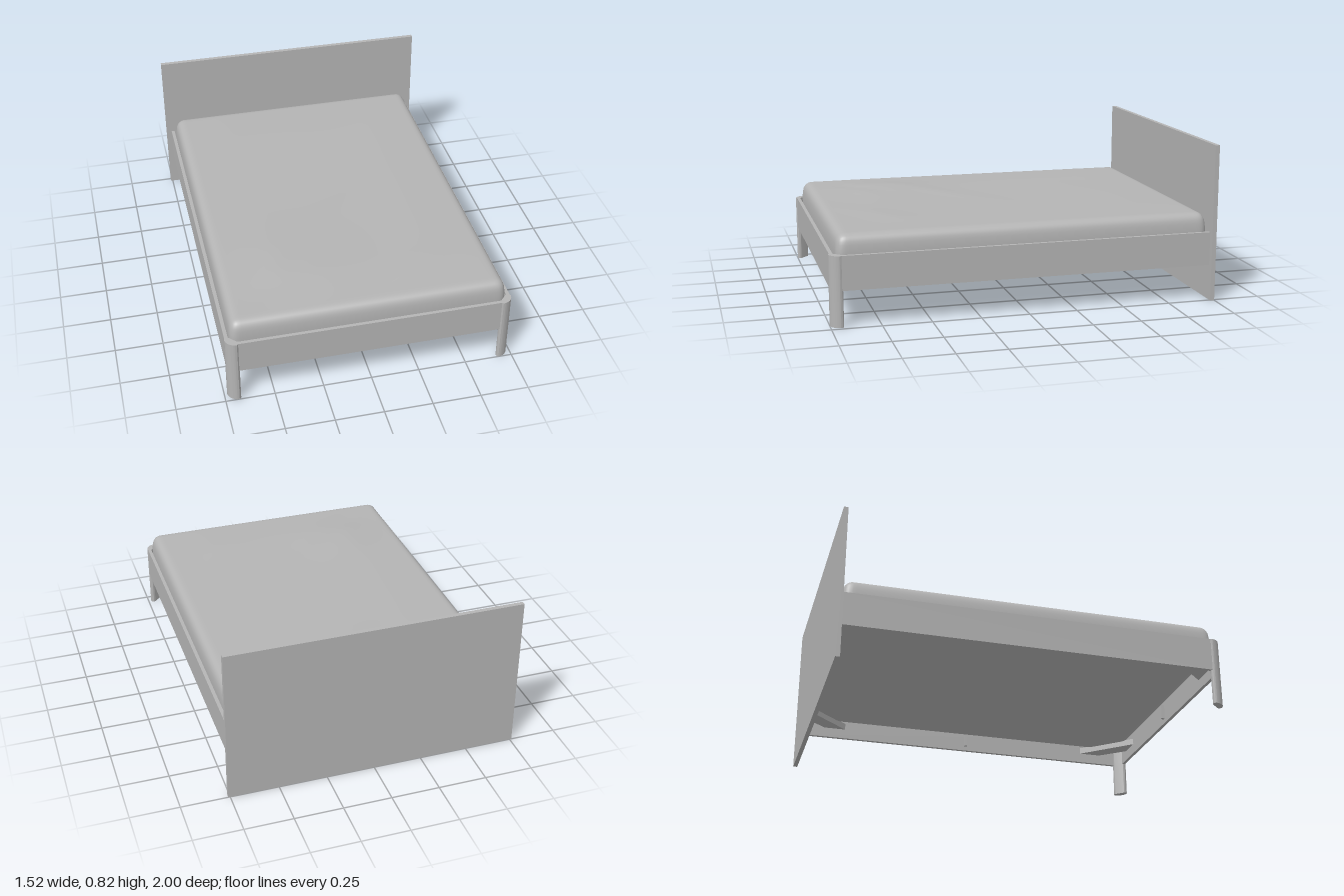
import * as THREE from 'three';
import { mergeVertices, toCreasedNormals } from 'three/addons/utils/BufferGeometryUtils.js';

const grey = new THREE.MeshStandardMaterial({ color: 0xb4b4b4 });
grey.name = 'plain grey';

function addMesh(parent, name, geometry, x = 0, y = 0, z = 0) {
  const mesh = new THREE.Mesh(geometry, grey);
  mesh.name = name;
  mesh.position.set(x, y, z);
  parent.add(mesh);
  return mesh;
}

function addBox(parent, name, x0, x1, y0, y1, z0, z1) {
  return addMesh(parent, name, new THREE.BoxGeometry(x1 - x0, y1 - y0, z1 - z0),
    (x0 + x1) / 2, (y0 + y1) / 2, (z0 + z1) / 2);
}

// Extrudes a plan outline (x, z) downwards from y = 0
function planExtrude(shape, depth) {
  const geometry = new THREE.ExtrudeGeometry(shape, { depth, bevelEnabled: false, curveSegments: 10 });
  return toCreasedNormals(geometry.rotateX(Math.PI / 2), 0.6);
}

// Soft bump used for the folds on top of the mattress
const bump = (x, z, cx, cz, w, l, turn) => {
  const c = Math.cos(turn), s = Math.sin(turn);
  const u = ((x - cx) * c + (z - cz) * s) / w;
  const v = ((z - cz) * c - (x - cx) * s) / l;
  return Math.exp(-u * u - v * v);
};

// Rounded slab with slightly leaning sides and a gently rumpled top
function mattressGeometry() {
  const half = new THREE.Vector3(0.708, 0.0925, 0.968);
  const radius = 0.045;
  const geometry = new THREE.BoxGeometry(2, 2, 2, 48, 14, 60);
  geometry.deleteAttribute('uv');
  geometry.deleteAttribute('normal');
  const merged = mergeVertices(geometry);
  const pos = merged.attributes.position;
  const p = new THREE.Vector3(), inner = new THREE.Vector3();
  const limit = half.clone().subScalar(radius);
  const floor = limit.clone().negate();
  for (let i = 0; i < pos.count; i++) {
    p.fromBufferAttribute(pos, i);
    // Crowd the vertices towards the edges, then round them
    p.set(Math.sin(p.x * Math.PI / 2), Math.sin(p.y * Math.PI / 2), Math.sin(p.z * Math.PI / 2)).multiply(half);
    inner.copy(p).clamp(floor, limit);
    p.sub(inner);
    if (p.lengthSq() > 0) p.setLength(radius);
    p.add(inner);
    const top = THREE.MathUtils.smoothstep(p.y, 0, half.y);
    const edge = Math.min(1, (half.x - Math.abs(p.x)) / 0.3) * Math.min(1, (half.z - Math.abs(p.z)) / 0.3);
    const rise = 0.006
      + 0.013 * bump(p.x, p.z, -0.35, 0.6, 0.3, 0.3, 0)
      + 0.004 * bump(p.x, p.z, -0.2, 0.3, 0.4, 0.07, -0.7)
      - 0.005 * bump(p.x, p.z, -0.4, 0.72, 0.25, 0.05, -0.7)
      + 0.004 * bump(p.x, p.z, 0.25, 0.75, 0.3, 0.08, -0.7)
      + 0.003 * bump(p.x, p.z, 0, -0.55, 0.3, 0.15, -0.5);
    pos.setXYZ(i, p.x * (1 - 0.012 * top), p.y + rise * top * edge, p.z * (1 - 0.008 * top));
  }
  merged.computeVertexNormals();
  return merged;
}

export function createModel() {
  const bed = new THREE.Group();
  bed.name = 'bed';

  addBox(bed, 'headboard', -0.76, 0.76, 0, 0.82, -1, -0.977);
  addMesh(bed, 'mattress', mattressGeometry(), 0, 0.3625, -0.005);
  addBox(bed, 'frontRail', -0.68, 0.68, 0.185, 0.36, 0.976, 0.994);
  addBox(bed, 'frontTab', -0.008, 0.008, 0.21, 0.29, 0.958, 0.976);

  // Solid corner post: round outside, rounded ends, flat inside
  const post = new THREE.Shape();
  post.moveTo(0.685, 1);
  post.absarc(0.68, 0.945, 0.055, Math.PI / 2, 0, true);
  post.absarc(0.72, 0.95, 0.015, 0, -Math.PI * 0.75, true);
  post.lineTo(0.675, 0.975);
  post.absarc(0.685, 0.985, 0.015, -Math.PI * 0.75, -Math.PI * 1.5, true);
  post.closePath();
  const postGeometry = planExtrude(post, 0.36);

  // Diagonal corner brace outline
  const brace = new THREE.Shape([[0.715, 0.72], [0.715, 0.84], [0.6, 0.976], [0.48, 0.976]]
    .map(([x, z]) => new THREE.Vector2(x, z)));
  const braceGeometry = planExtrude(brace, 0.035);

  for (const side of [-1, 1]) {
    const half = new THREE.Group();
    half.name = side > 0 ? 'leftSide' : 'rightSide';
    half.scale.x = side;
    addBox(half, 'sideRail', 0.714, 0.732, 0.185, 0.36, -0.977, 0.945);
    addBox(half, 'sideTab', 0.698, 0.714, 0.21, 0.29, -0.008, 0.008);
    addMesh(half, 'frontLeg', postGeometry, 0, 0.36, 0);
    addMesh(half, 'frontBrace', braceGeometry, 0, 0.275, 0);
    addMesh(half, 'backBrace', braceGeometry, 0, 0.275, 0).scale.z = -1;
    bed.add(half);
  }
  return bed;
}
